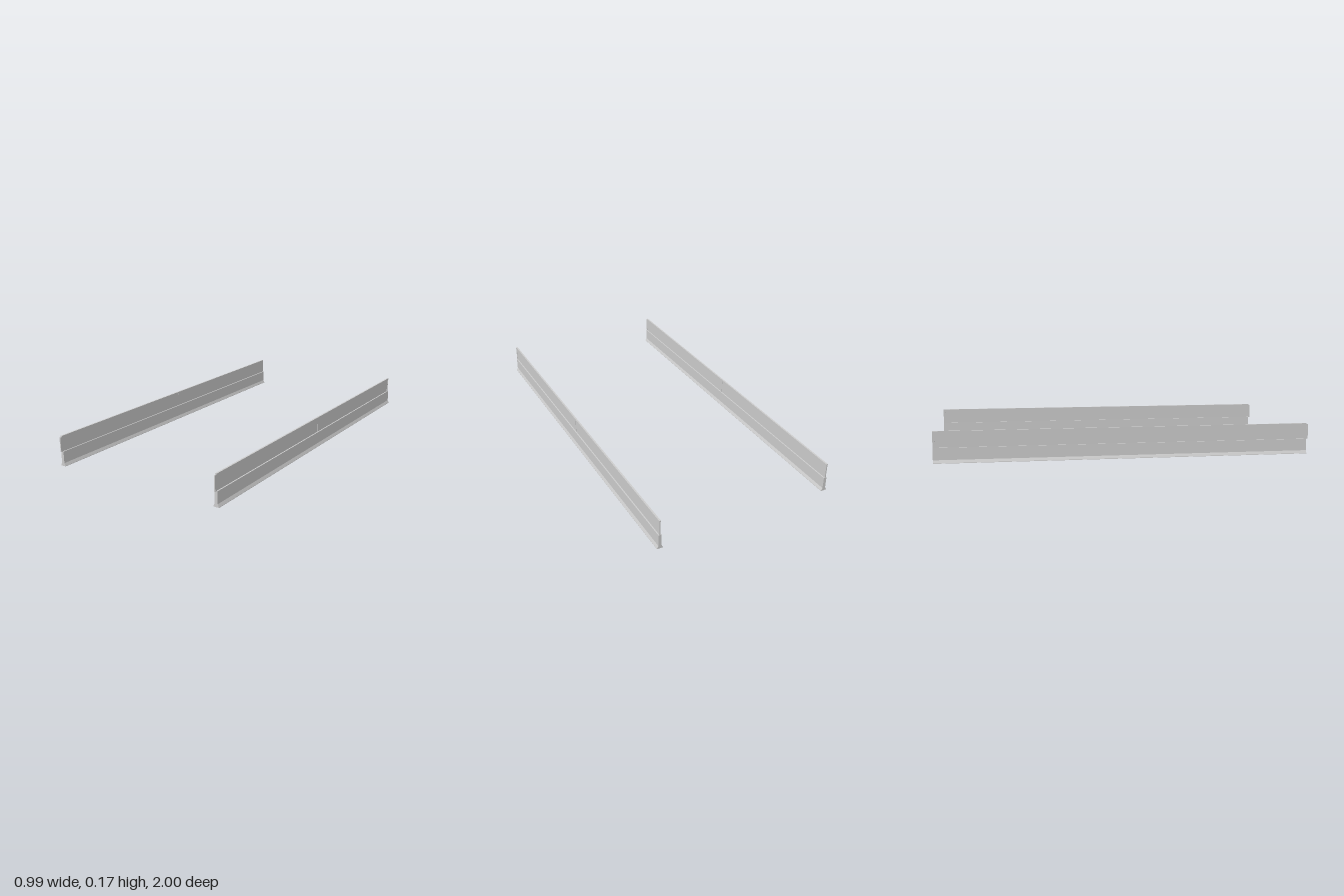
import * as THREE from 'three';

const material = new THREE.MeshStandardMaterial({ color: 0xcccccc, flatShading: true });
const START = -1, END = 0.99, LENGTH = END - START, MID = (START + END) / 2;

function box(name, w, h, d, y, z) {
  const mesh = new THREE.Mesh(new THREE.BoxGeometry(w, h, d), material);
  mesh.name = name;
  mesh.position.set(0, y, z);
  return mesh;
}

function barrier(name) {
  const group = new THREE.Group();
  group.name = name;

  // Concrete base with flared foot, extruded along z
  const half = [[0.016, 0], [0.016, 0.002], [0.0085, 0.017], [0.008, 0.08]];
  const points = [...half, ...half.map(([x, y]) => [-x, y]).reverse()];
  const shape = new THREE.Shape(points.map(([x, y]) => new THREE.Vector2(x, y)));
  const base = new THREE.Mesh(
    new THREE.ExtrudeGeometry(shape, { depth: LENGTH, bevelEnabled: false }), material);
  base.name = 'concreteBase';
  base.position.z = START;
  group.add(base);

  // Thin screen and the rail capping it
  group.add(box('screenPanel', 0.003, 0.078, LENGTH, 0.118, MID));
  group.add(box('topRail', 0.009, 0.009, LENGTH, 0.1605, MID));

  // Upright posts at both ends and the middle
  for (const z of [-0.995, 0, 0.995]) {
    group.add(box('post', 0.006, 0.08, 0.01, 0.119, z));
  }
  return group;
}

export function createModel() {
  const model = new THREE.Group();
  model.name = 'roadsideBarriers';
  for (const side of [-1, 1]) {
    const b = barrier(side > 0 ? 'leftBarrier' : 'rightBarrier');
    b.position.x = side * 0.481;
    model.add(b);
  }
  return model;
}
